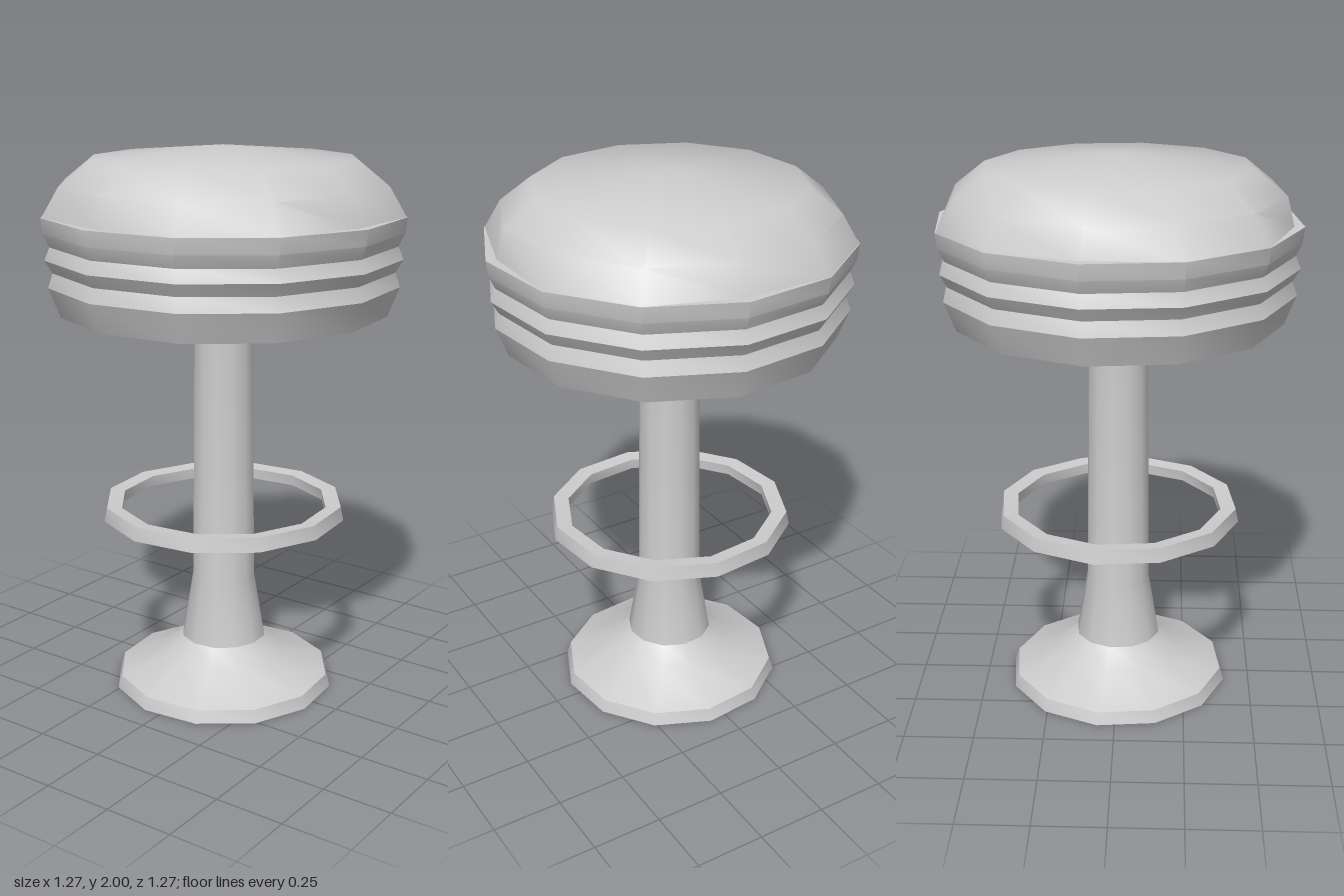
import * as THREE from 'three';
import { toCreasedNormals } from 'three/addons/utils/BufferGeometryUtils.js';

const SIDES = 12;
const START = THREE.MathUtils.degToRad(21);

// Twelve-sided turned part from [radius, height] pairs, listed bottom to top
function turned(profile) {
  const points = profile.map(([r, y]) => new THREE.Vector2(r, y));
  return new THREE.LatheGeometry(points, SIDES, START, Math.PI * 2);
}

export function createModel() {
  const model = new THREE.Group();
  model.name = 'stool';
  const grey = new THREE.MeshStandardMaterial({ color: 0xcccccc, side: THREE.DoubleSide });
  grey.name = 'light grey';

  const add = (name, geometry, crease = 0.6) => {
    const mesh = new THREE.Mesh(toCreasedNormals(geometry, crease), grey);
    mesh.name = name;
    model.add(mesh);
  };

  // Flared foot, open underneath, running up into the column
  add('pedestal', turned([
    [0.41, 0], [0.395, 0.045], [0.225, 0.12], [0.157, 0.18],
    [0.117, 0.42], [0.107, 1.43], [0.105, 1.95],
  ]));

  // Floating foot ring with a closed cross-section
  add('footRing', turned([
    [0.385, 0.67], [0.448, 0.665], [0.438, 0.715], [0.382, 0.71], [0.385, 0.67],
  ]));

  // Ribbed band around the seat
  add('seatBand', turned([
    [0.583, 1.425], [0.624, 1.53], [0.607, 1.58], [0.633, 1.625],
    [0.615, 1.67], [0.636, 1.715], [0.642, 1.77],
  ]), 0.55);

  // Domed cushion; its lower edge meets the band except at every third corner
  const profile = [[0.642, 1.77], [0.605, 1.77], [0.58, 1.87], [0.472, 1.955], [0, 2]];
  const cushion = turned(profile);
  const pos = cushion.attributes.position;
  for (let i = 0; i <= SIDES; i++) {
    if (i % 3 === 2) continue;
    const v = i * profile.length + 1;
    const k = 0.639 / 0.605;
    pos.setXYZ(v, pos.getX(v) * k, pos.getY(v), pos.getZ(v) * k);
  }
  add('cushion', cushion, 0.75);

  return model;
}
